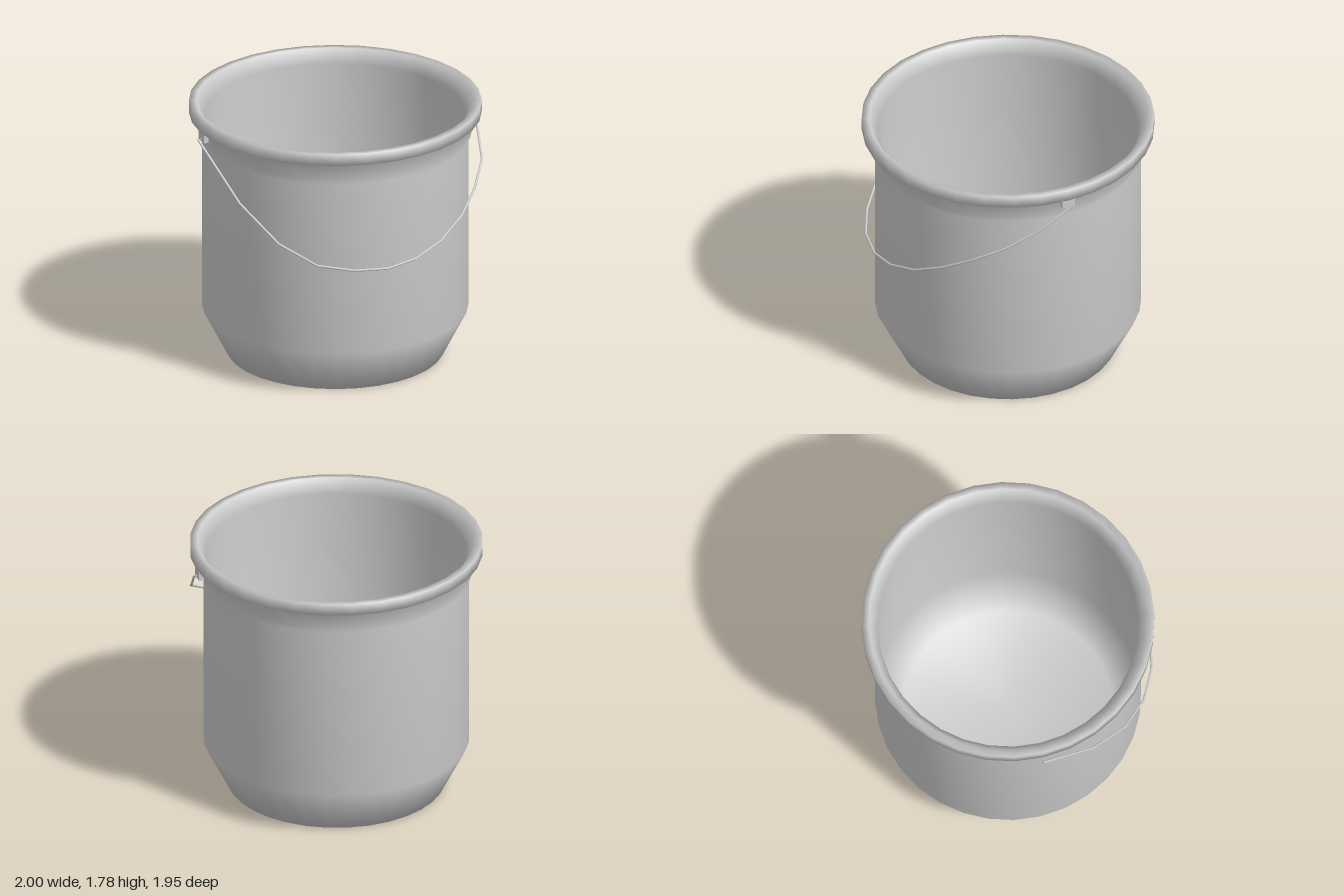
import * as THREE from 'three';

const SIDES = 32;

// Outside from the base centre up, over the rim, and back down the inside to the floor centre
const PROFILE = [
  [0, 0], [0.72, 0], [0.885, 0.32], [0.885, 1.53], [0.912, 1.58], [0.912, 1.7],
  [0.973, 1.7], [0.973, 1.78], [0.924, 1.78],
  [0.865, 1.69], [0.865, 0.33], [0.7, 0.025], [0, 0.025],
];

// Bends of the hanging wire, from the right lug round the front to the left lug
const WIRE = [
  [-0.945, 1.655, 0], [-0.992, 1.655, 0], [-0.85, 1.31, 0.37], [-0.68, 1.09, 0.63],
  [-0.48, 0.97, 0.81], [-0.26, 0.94, 0.92], [-0.03, 0.935, 0.96], [0.18, 0.965, 0.94],
  [0.39, 1.03, 0.865], [0.59, 1.14, 0.755], [0.75, 1.255, 0.6], [0.88, 1.375, 0.42],
  [0.94, 1.49, 0.21], [0.992, 1.655, 0], [0.945, 1.655, 0],
];

// Straight runs between bends, with one tube ring on each bend
class BentWire extends THREE.Curve {
  constructor(points) {
    super();
    this.points = points;
  }
  getPoint(t, target = new THREE.Vector3()) {
    const s = t * (this.points.length - 1);
    const i = Math.min(Math.floor(s + 1e-9), this.points.length - 2);
    return target.lerpVectors(this.points[i], this.points[i + 1], s - i);
  }
  getPointAt(t, target) { return this.getPoint(t, target); }
  getTangentAt(t, target) { return this.getTangent(t, target); }
}

export function createModel() {
  const group = new THREE.Group();
  group.name = 'bucket';
  const material = new THREE.MeshStandardMaterial({ color: 0xcccccc });

  const add = (name, geometry) => {
    const mesh = new THREE.Mesh(geometry, material);
    mesh.name = name;
    group.add(mesh);
    return mesh;
  };

  // Body with thick rim
  const profile = PROFILE.map(([r, y]) => new THREE.Vector2(r, y));
  add('bucketBody', new THREE.LatheGeometry(profile, SIDES));

  // Lugs under the rim that hold the wire
  for (const side of [-1, 1]) {
    const lug = add(side < 0 ? 'rightLug' : 'leftLug', new THREE.BoxGeometry(0.034, 0.07, 0.09));
    lug.position.set(side * 0.952, 1.675, 0);
  }

  // Wire handle
  const bends = WIRE.map((p) => new THREE.Vector3(...p));
  add('wireHandle', new THREE.TubeGeometry(new BentWire(bends), bends.length - 1, 0.008, 8));

  return group;
}
